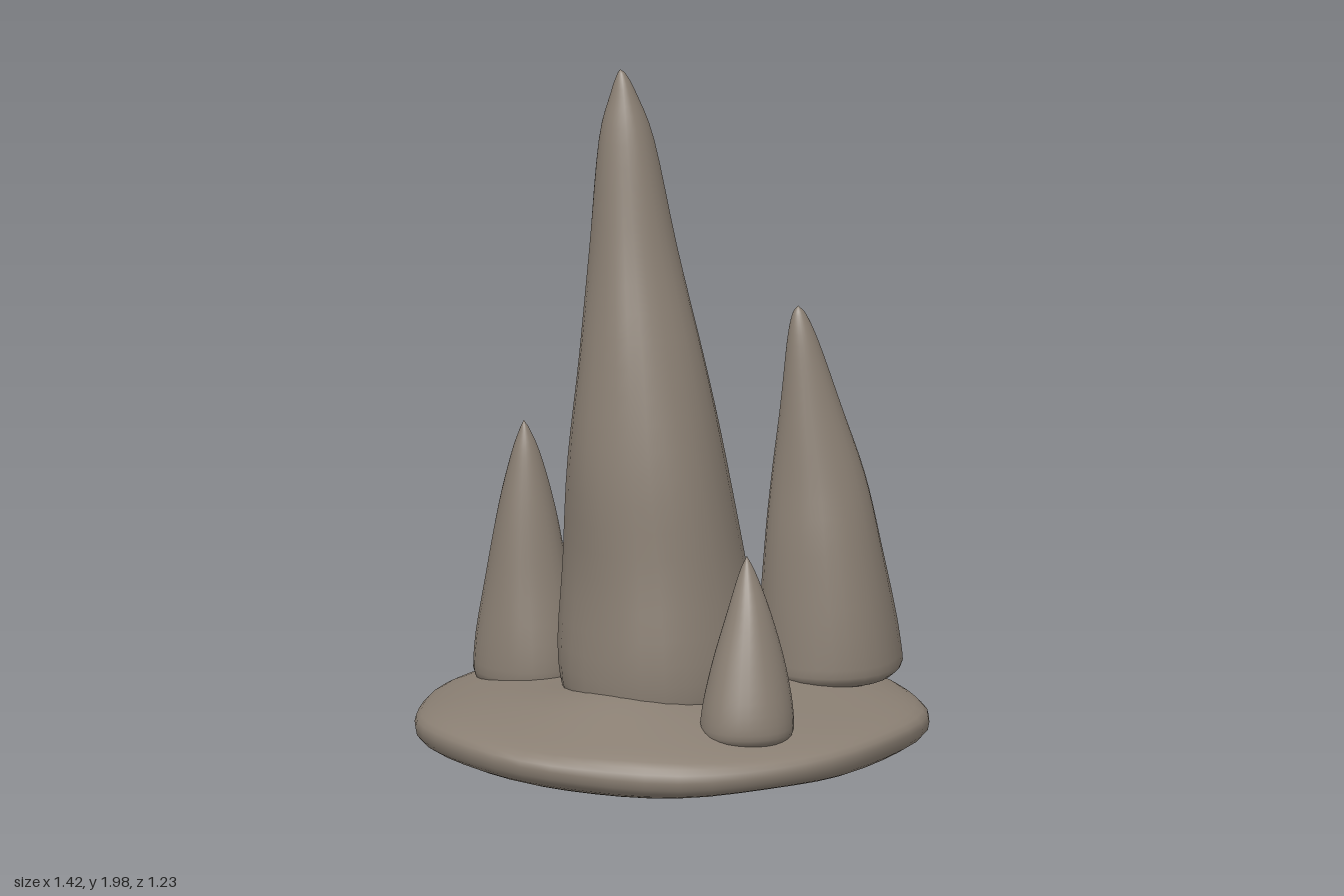
import * as THREE from 'three';
import { mergeVertices } from 'three/addons/utils/BufferGeometryUtils.js';

const stone = new THREE.MeshStandardMaterial({ color: 0x8a7f73 });
stone.name = 'stone';

// Weld the seams of a reshaped geometry so its normals run smoothly
function weld(geometry) {
  geometry.deleteAttribute('uv');
  geometry.deleteAttribute('normal');
  const welded = mergeVertices(geometry, 1e-5);
  welded.computeVertexNormals();
  return welded;
}

function addMesh(group, name, geometry) {
  const mesh = new THREE.Mesh(geometry, stone);
  mesh.name = name;
  group.add(mesh);
}

// Gentle irregularity, different for each seed
const ripple = (a, y, seed) =>
  1 + 0.014 * Math.sin(3 * a + 5 * y + seed) + 0.01 * Math.sin(5 * a - 7 * y + 2 * seed);

// Loft a spike through sections [y, left x, right x, back z, front z]
function spike(sections, seed) {
  const centres = new THREE.CatmullRomCurve3(
    sections.map(([y, l, r, b, f]) => new THREE.Vector3((l + r) / 2, y, (b + f) / 2)), false, 'catmullrom', 0.5);
  const radii = new THREE.CatmullRomCurve3(
    sections.map(([y, l, r, b, f]) => new THREE.Vector3((r - l) / 2, y, (f - b) / 2)), false, 'catmullrom', 0.5);
  const rows = (sections.length - 1) * 4;
  const geometry = new THREE.CylinderGeometry(1, 1, 1, 28, rows, true);
  const p = geometry.attributes.position;
  for (let i = 0; i < p.count; i++) {
    const t = THREE.MathUtils.clamp(p.getY(i) + 0.5, 0, 1);
    const c = centres.getPoint(t);
    const r = radii.getPoint(t);
    const k = ripple(Math.atan2(p.getZ(i), p.getX(i)), c.y, seed);
    p.setXYZ(i, c.x + p.getX(i) * Math.max(r.x, 0) * k, c.y, c.z + p.getZ(i) * Math.max(r.z, 0) * k);
  }
  return weld(geometry);
}

// Flattened, lumpy slab of rock
function slab() {
  const geometry = new THREE.SphereGeometry(1, 48, 28);
  const p = geometry.attributes.position;
  const lump = (x, z, cx, cz, w) => Math.exp(-((x - cx) ** 2 + (z - cz) ** 2) / (w * w));
  for (let i = 0; i < p.count; i++) {
    const s = p.getY(i);
    const a = Math.atan2(p.getZ(i), p.getX(i));
    const edge = 1 + 0.008 * Math.sin(5 * a + 1) + 0.006 * Math.sin(9 * a);
    const x = p.getX(i) * 0.71 * edge;
    const z = p.getZ(i) * 0.615 * edge;
    const h = Math.pow(Math.abs(s), 0.75);
    let y = 0.15 + 0.012 * Math.sin(3 * a) * (1 - h);
    if (s > 0) {
      y += h * (0.095 + 0.06 * lump(x, z, -0.15, 0.2, 0.22) + 0.025 * lump(x, z, 0.5, -0.2, 0.25)
        + 0.008 * Math.sin(9 * x + 4 * z));
    } else {
      y -= h * (0.115 + 0.025 * lump(x, z, -0.15, 0.15, 0.25) + 0.035 * lump(x, z, 0.4, -0.2, 0.22)
        + 0.006 * Math.sin(8 * x - 7 * z));
    }
    p.setXYZ(i, x, Math.max(y, 0), z);
  }
  return weld(geometry);
}

export function createModel() {
  const group = new THREE.Group();
  group.name = 'stalagmites';

  addMesh(group, 'rockBase', slab());

  addMesh(group, 'tallSpike', spike([
    [0.15, -0.03, -0.02, -0.005, 0.005],
    [0.2, -0.26, 0.21, -0.24, 0.24],
    [0.32, -0.31, 0.26, -0.285, 0.285],
    [0.6, -0.292, 0.215, -0.275, 0.262],
    [0.9, -0.283, 0.155, -0.235, 0.24],
    [1.2, -0.252, 0.09, -0.178, 0.18],
    [1.5, -0.222, 0.02, -0.145, 0.098],
    [1.8, -0.195, -0.042, -0.115, 0.03],
    [1.93, -0.163, -0.09, -0.085, -0.012],
    [1.985, -0.145, -0.118, -0.062, -0.036],
    [2.0, -0.135, -0.135, -0.05, -0.05],
  ], 1));

  addMesh(group, 'leftSpike', spike([
    [0.2, 0.445, 0.455, -0.19, -0.18],
    [0.23, 0.27, 0.63, -0.365, -0.01],
    [0.32, 0.252, 0.645, -0.38, 0.012],
    [0.6, 0.268, 0.59, -0.335, -0.015],
    [0.8, 0.287, 0.545, -0.29, -0.05],
    [1.0, 0.31, 0.478, -0.235, -0.085],
    [1.18, 0.328, 0.417, -0.198, -0.118],
    [1.26, 0.343, 0.382, -0.175, -0.142],
    [1.285, 0.36, 0.36, -0.16, -0.16],
  ], 2.5));

  addMesh(group, 'rightSpike', spike([
    [0.17, -0.385, -0.375, -0.25, -0.24],
    [0.2, -0.515, -0.245, -0.385, -0.105],
    [0.29, -0.53, -0.225, -0.405, -0.085],
    [0.5, -0.5, -0.27, -0.355, -0.115],
    [0.7, -0.467, -0.31, -0.305, -0.145],
    [0.85, -0.432, -0.35, -0.255, -0.175],
    [0.92, -0.409, -0.378, -0.228, -0.197],
    [0.95, -0.396, -0.396, -0.212, -0.212],
  ], 4));

  addMesh(group, 'frontSpike', spike([
    [0.16, 0.195, 0.205, 0.365, 0.375],
    [0.2, 0.085, 0.312, 0.26, 0.485],
    [0.26, 0.07, 0.327, 0.245, 0.503],
    [0.4, 0.098, 0.305, 0.258, 0.465],
    [0.55, 0.143, 0.265, 0.285, 0.41],
    [0.66, 0.178, 0.225, 0.312, 0.358],
    [0.71, 0.2, 0.2, 0.332, 0.332],
  ], 5.5));

  return group;
}
